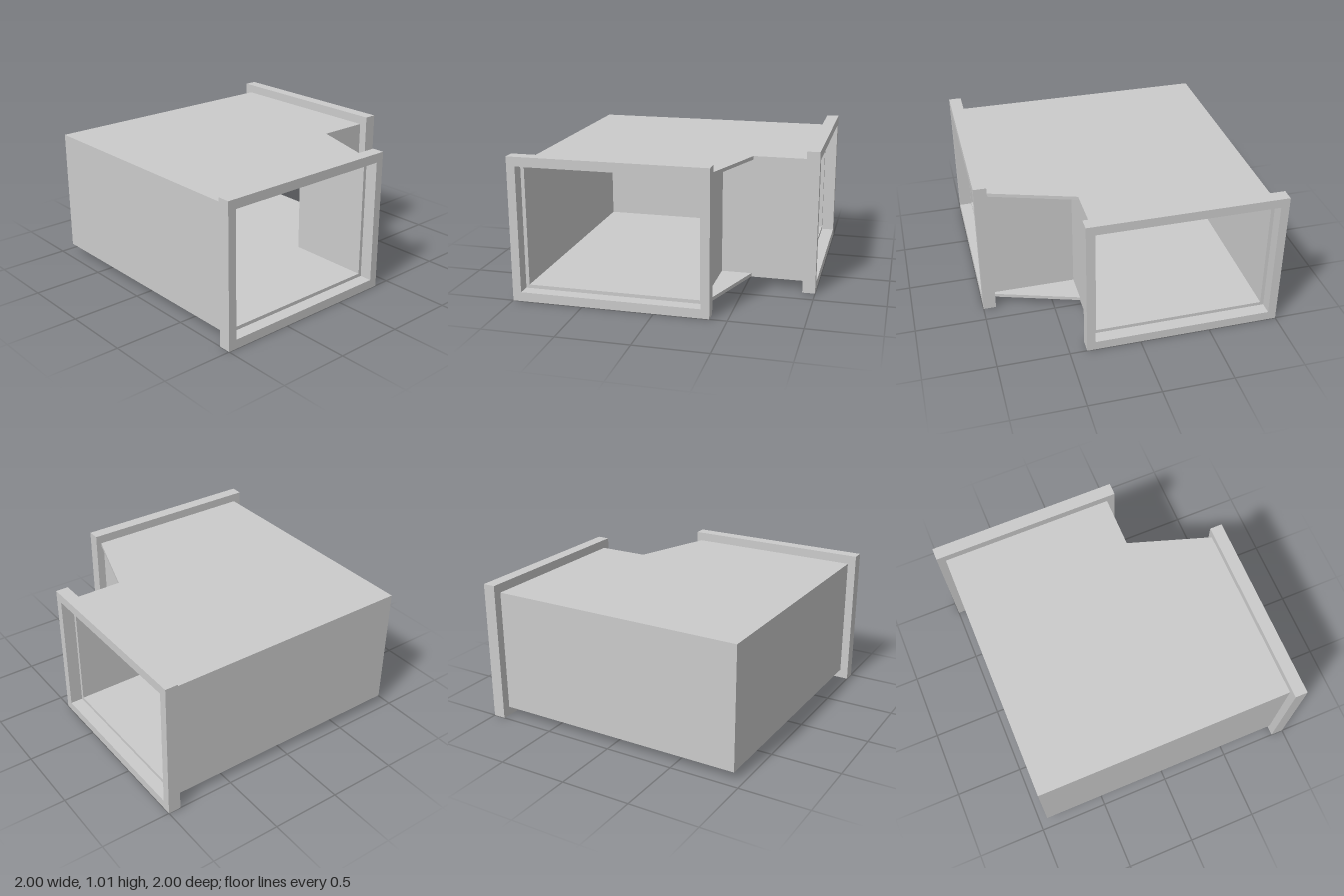
import * as THREE from 'three';

const material = new THREE.MeshStandardMaterial({ color: 0xcccccc, flatShading: true });

const WALL = 0.025;             // sheet thickness
const BOTTOM = 0.065, TOP = 0.95; // outer height range of the duct
const LOW = -0.94, NEAR = 0.32, END = 0.91; // outer wall, notch wall, flange seat

function shapeFrom(points) {
  return new THREE.Shape(points.map(([x, y]) => new THREE.Vector2(x, y)));
}

// Extrudes a floor-plan outline of [x, z] points between two heights
function planPart(name, points, y0, y1) {
  const geometry = new THREE.ExtrudeGeometry(shapeFrom(points), { depth: y1 - y0, bevelEnabled: false });
  geometry.rotateX(Math.PI / 2).translate(0, y1, 0);
  const mesh = new THREE.Mesh(geometry, material);
  mesh.name = name;
  return mesh;
}

// Rectangular frame standing on y = 0, centred on its own x and z
function flange(name) {
  const w = 0.69, h = 1.015, rim = 0.06, depth = 0.09;
  const shape = shapeFrom([[-w, 0], [w, 0], [w, h], [-w, h]]);
  const i = w - rim;
  shape.holes.push(new THREE.Path([[-i, BOTTOM], [-i, TOP], [i, TOP], [i, BOTTOM]]
    .map(([x, y]) => new THREE.Vector2(x, y))));
  const geometry = new THREE.ExtrudeGeometry(shape, { depth, bevelEnabled: false });
  geometry.translate(0, 0, -depth / 2);
  const mesh = new THREE.Mesh(geometry, material);
  mesh.name = name;
  return mesh;
}

export function createModel() {
  const model = new THREE.Group();
  model.name = 'ductElbow';

  // Top and bottom sheets, with a slanted edge overhanging the inner corner
  const sheet = [[LOW, -END], [NEAR, -END], [NEAR, -0.535], [END, -0.34], [END, -LOW], [LOW, -LOW]];
  model.add(planPart('bottomSheet', sheet, BOTTOM, BOTTOM + WALL));
  model.add(planPart('topSheet', sheet, TOP - WALL, TOP));

  // L-shaped side walls; both ends of the duct stay open
  const wall = (c) => [
    [c, -END], [c, -c], [END, -c],
    [END, -c + (c < 0 ? -WALL : WALL)],
    [c + (c < 0 ? WALL : -WALL), -c + (c < 0 ? -WALL : WALL)],
    [c + (c < 0 ? WALL : -WALL), -END],
  ];
  model.add(planPart('outerWall', wall(LOW), BOTTOM + WALL, TOP - WALL));
  model.add(planPart('innerWall', wall(NEAR), BOTTOM + WALL, TOP - WALL));

  // Connection flanges at the two openings
  const backFlange = flange('backFlange');
  backFlange.position.set(-0.31, 0, -0.955);
  const sideFlange = flange('sideFlange');
  sideFlange.position.set(0.955, 0, 0.31);
  sideFlange.rotation.y = Math.PI / 2;
  model.add(backFlange, sideFlange);

  return model;
}
